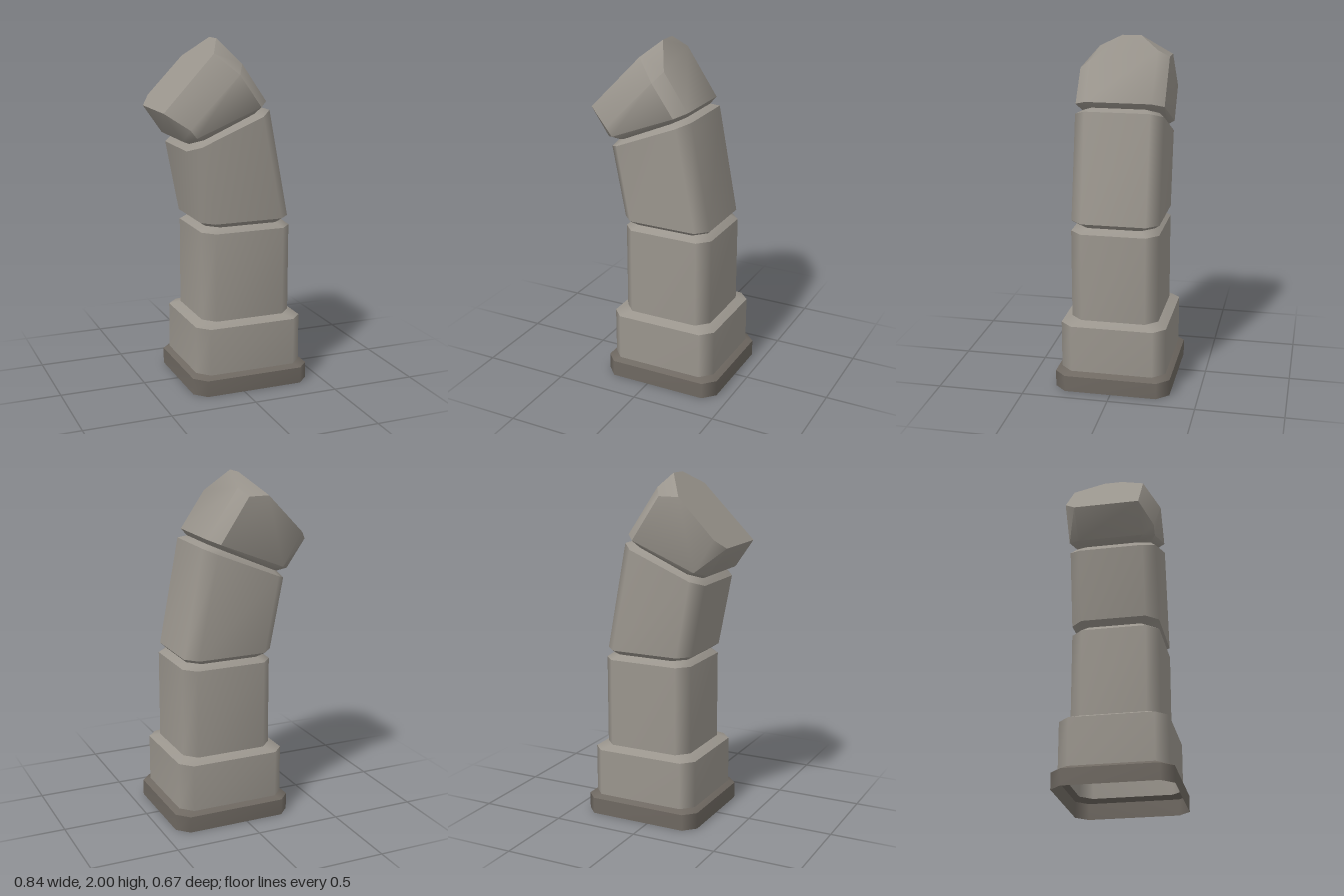
import * as THREE from 'three';
import { ConvexGeometry } from 'three/addons/geometries/ConvexGeometry.js';
import { toCreasedNormals } from 'three/addons/utils/BufferGeometryUtils.js';

// Chamfered rectangle from its left edge (x0, y0) to its right edge (x1, y1);
// height runs linearly between them, so the section can be tilted.
function section([x0, y0, x1, y1, hz], cx = 0.065, cz = 0.068) {
  const outline = [
    [x1, hz - cz], [x1, cz - hz], [x1 - cx, -hz], [x0 + cx, -hz],
    [x0, cz - hz], [x0, hz - cz], [x0 + cx, hz], [x1 - cx, hz],
  ];
  return outline.map(([x, z]) =>
    new THREE.Vector3(x, y0 + (y1 - y0) * (x - x0) / (x1 - x0), z));
}

// Open wall between two sections, smooth around and sharp at its ends
function band(lower, upper) {
  const points = [...section(lower), ...section(upper)];
  const index = [];
  for (let i = 0; i < 8; i++) {
    const j = (i + 1) % 8;
    index.push(i, j, j + 8, i, j + 8, i + 8);
  }
  const geometry = new THREE.BufferGeometry().setFromPoints(points);
  geometry.setIndex(index);
  geometry.computeVertexNormals();
  return geometry;
}

function stack(name, sections, material) {
  const group = new THREE.Group();
  group.name = name;
  for (let i = 0; i < sections.length - 1; i++) {
    const mesh = new THREE.Mesh(band(sections[i], sections[i + 1]), material);
    mesh.name = name + 'Band' + (i + 1);
    group.add(mesh);
  }
  return group;
}

export function createModel() {
  const stone = new THREE.MeshStandardMaterial({ color: 0x9a958d, side: THREE.DoubleSide });
  stone.name = 'warm grey';
  const darkStone = new THREE.MeshStandardMaterial({ color: 0x6e6861, side: THREE.DoubleSide });
  darkStone.name = 'dark grey';

  const model = new THREE.Group();
  model.name = 'jointedColumn';

  // Shared outlines where one part meets the next
  const collarTop = [-0.26, 0.115, 0.385, 0.115, 0.305];
  const socketTop = [-0.205, 0.415, 0.335, 0.415, 0.253];
  const lowerNeck = [-0.17, 0.96, 0.298, 0.96, 0.22];
  const upperNeck = [-0.262, 1.435, 0.162, 1.62, 0.22];

  // Collar at the open foot
  model.add(stack('collar', [
    [-0.29, 0, 0.42, 0, 0.335], [-0.29, 0.095, 0.42, 0.095, 0.335], collarTop,
  ], darkStone));

  // Wide socket with a sloped shoulder
  model.add(stack('socket', [
    collarTop, [-0.26, 0.39, 0.385, 0.39, 0.305], socketTop,
  ], stone));

  // Upright segment, narrowing to the first joint
  model.add(stack('lowerSegment', [
    socketTop, [-0.205, 0.93, 0.335, 0.93, 0.253], lowerNeck,
  ], stone));

  // Leaning segment between the two joints
  model.add(stack('middleSegment', [
    lowerNeck, [-0.21, 0.987, 0.325, 0.987, 0.253],
    [-0.29, 1.4, 0.207, 1.605, 0.253], upperNeck,
  ], stone));

  // Tip: tilted block with an oblique top and broken corners
  const tipTop = [
    [-0.42, 1.615, -0.19], [-0.37, 1.667, -0.253], [-0.16, 1.885, -0.253],
    [-0.05, 2, -0.09], [-0.05, 2, 0.02], [-0.12, 1.927, 0.165],
    [-0.42, 1.615, 0.185], [0, 1.927, -0.19], [-0.04, 1.885, -0.253],
    [0.04, 1.868, 0.185], [0, 1.815, 0.253], [-0.29, 1.525, 0.253],
  ].map((p) => new THREE.Vector3(...p));
  const tipBase = section([-0.31, 1.455, 0.185, 1.655, 0.253], 0.057, 0.066);
  const tip = new THREE.Mesh(
    toCreasedNormals(new ConvexGeometry([...section(upperNeck), ...tipBase, ...tipTop]), 0.82),
    stone);
  tip.name = 'tip';
  model.add(tip);

  return model;
}
